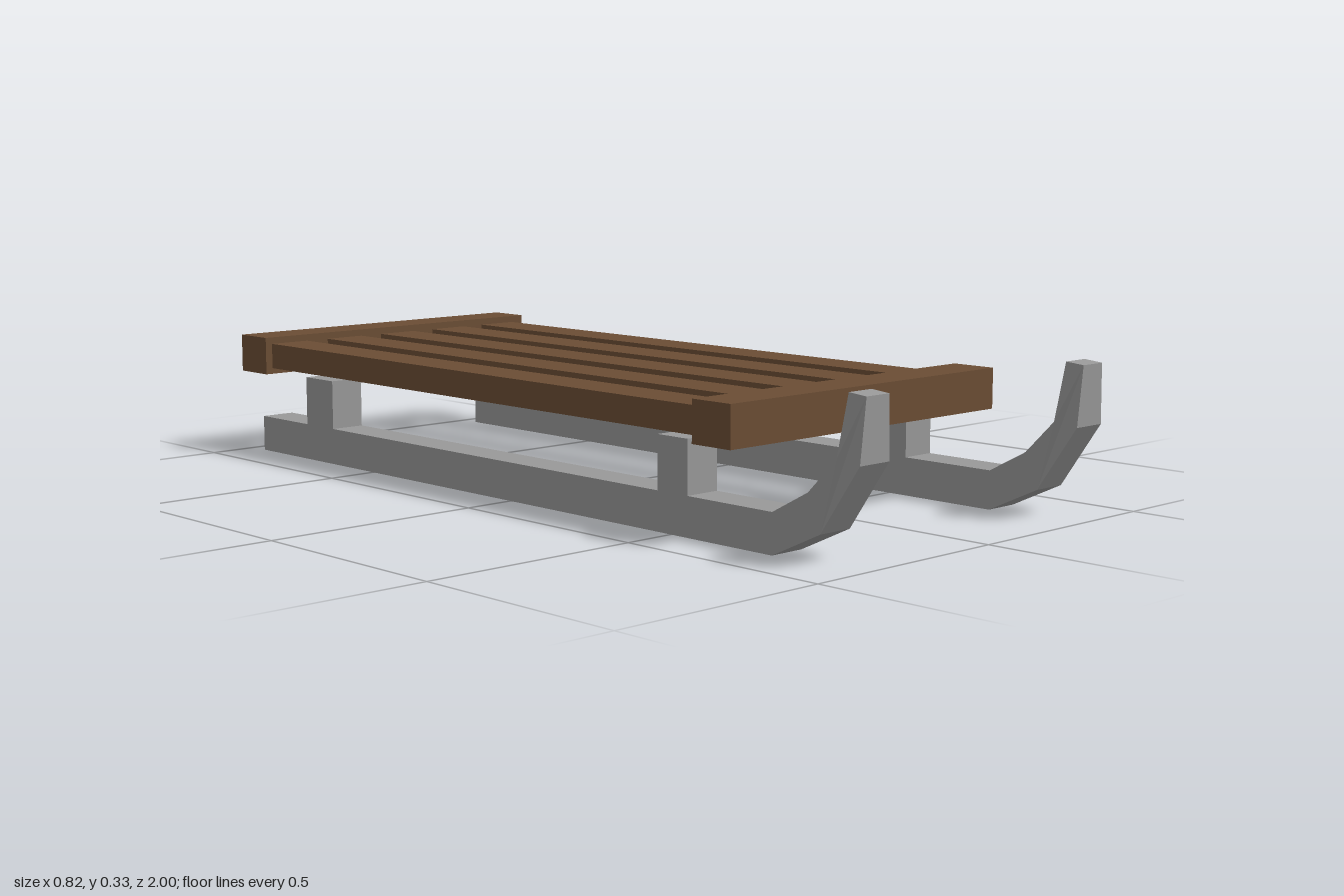
import * as THREE from 'three';

const wood = new THREE.MeshStandardMaterial({ color: 0x6b4d34 });
wood.name = 'brown wood';
const metal = new THREE.MeshStandardMaterial({ color: 0x999999 });
metal.name = 'grey metal';

// Box given by its limits on each axis
function box(name, material, [x0, x1], [y0, y1], [z0, z1]) {
  const mesh = new THREE.Mesh(new THREE.BoxGeometry(x1 - x0, y1 - y0, z1 - z0), material);
  mesh.position.set((x0 + x1) / 2, (y0 + y1) / 2, (z0 + z1) / 2);
  mesh.name = name;
  return mesh;
}

// Side profile of a runner as [z, y], curling up at the front
const runnerProfile = [
  [-0.952, 0], [0.777, 0], [0.9, 0.059], [0.995, 0.2], [1, 0.329],
  [0.957, 0.333], [0.938, 0.207], [0.868, 0.135], [0.777, 0.085], [-0.952, 0.085],
];
const runnerWidth = 0.084;

function runnerGeometry() {
  const shape = new THREE.Shape(runnerProfile.map(([z, y]) => new THREE.Vector2(z, y)));
  const geometry = new THREE.ExtrudeGeometry(shape, { depth: runnerWidth, bevelEnabled: false });
  geometry.translate(0, 0, -runnerWidth / 2);
  geometry.rotateY(-Math.PI / 2);
  // Narrow the raised tip
  const p = geometry.attributes.position;
  for (let i = 0; i < p.count; i++) {
    if (p.getY(i) > 0.3) p.setX(i, p.getX(i) * 0.77);
  }
  geometry.computeVertexNormals();
  return geometry;
}

export function createModel() {
  const sled = new THREE.Group();
  sled.name = 'sled';

  // Runners, each with two posts
  const geometry = runnerGeometry();
  for (const [side, x] of [['right', -0.341], ['left', 0.335]]) {
    const group = new THREE.Group();
    group.name = `${side}RunnerAssembly`;
    const runner = new THREE.Mesh(geometry, metal);
    runner.name = `${side}Runner`;
    runner.position.x = x;
    const xs = [x - runnerWidth / 2, x + runnerWidth / 2];
    group.add(
      runner,
      box(`${side}FrontPost`, metal, xs, [0.085, 0.2], [0.461, 0.547]),
      box(`${side}RearPost`, metal, xs, [0.085, 0.2], [-0.764, -0.657]),
    );
    sled.add(group);
  }

  // Seat slats
  for (let i = 0; i < 5; i++) {
    const x = -0.34 + i * 0.1658;
    sled.add(box(`slat${i + 1}`, wood, [x - 0.052, x + 0.052], [0.211, 0.271], [-0.895, 0.588]));
  }

  // Crossbars over the slat ends
  sled.add(
    box('frontCrossbar', wood, [-0.41, 0.41], [0.197, 0.287], [0.586, 0.691]),
    box('rearCrossbar', wood, [-0.41, 0.41], [0.197, 0.287], [-1, -0.895]),
  );
  return sled;
}
